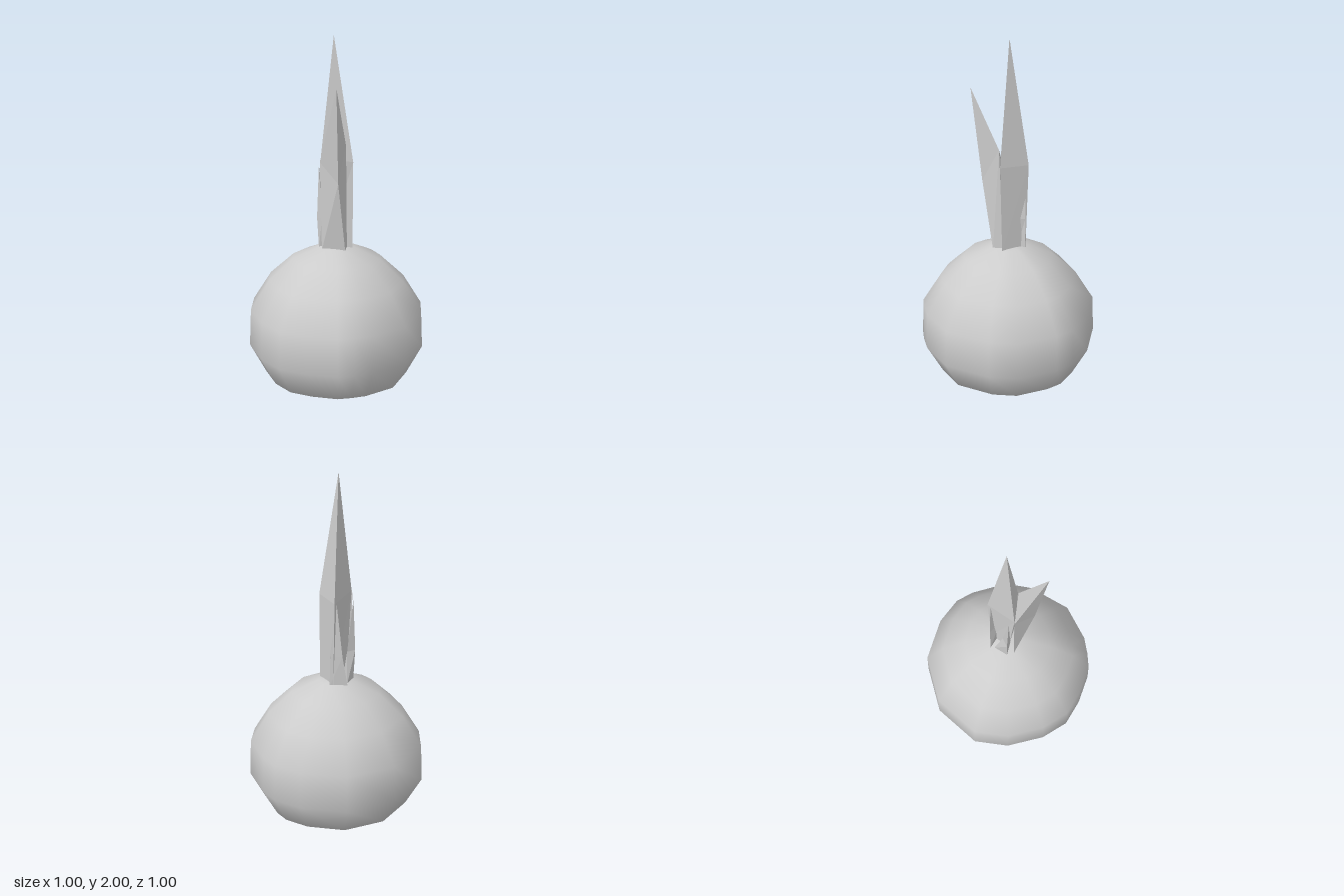
import * as THREE from 'three';
import { mergeVertices } from 'three/addons/utils/BufferGeometryUtils.js';

// Bulb: a lathe whose rings follow an uneven, hand-cut outline
function bulbGeometry() {
  const outline = [ // x, z from the front towards +x
    [0, 0.5], [0.1, 0.49], [0.31, 0.4], [0.46, 0.18], [0.5, 0.02], [0.45, -0.2],
    [0.4, -0.3], [0.27, -0.41], [0.03, -0.5], [-0.25, -0.44], [-0.46, -0.23],
    [-0.5, -0.03], [-0.46, 0.19], [-0.38, 0.34], [-0.25, 0.43], [-0.09, 0.5],
  ];
  const profile = [ // radius, height
    [0, 0.005], [0.25, 0.01], [0.41, 0.09], [0.5, 0.26], [0.49, 0.47],
    [0.385, 0.64], [0.25, 0.765], [0.1, 0.83], [0, 0.84],
  ];
  const geo = new THREE.LatheGeometry(profile.map(p => new THREE.Vector2(...p)), outline.length);
  const pos = geo.attributes.position;
  for (let i = 0; i < pos.count; i++) {
    const [x, z] = outline[Math.floor(i / profile.length) % outline.length];
    const [r, y] = profile[i % profile.length];
    pos.setXYZ(i, x * r * 2, y, z * r * 2);
  }
  geo.deleteAttribute('uv');
  geo.deleteAttribute('normal');
  const merged = mergeVertices(geo);
  merged.computeVertexNormals();
  return merged;
}

// Leaf: three-sided shaft from base to shoulder, then a long point
function leafGeometry(tip, shoulder, base) {
  const v = [];
  for (let i = 0; i < 3; i++) {
    const j = (i + 1) % 3;
    v.push(...base[i], ...base[j], ...shoulder[j]);
    v.push(...base[i], ...shoulder[j], ...shoulder[i]);
    v.push(...shoulder[i], ...shoulder[j], ...tip);
  }
  const geo = new THREE.BufferGeometry();
  geo.setAttribute('position', new THREE.Float32BufferAttribute(v, 3));
  geo.computeVertexNormals();
  return geo;
}

export function createModel() {
  const group = new THREE.Group();
  group.name = 'onion';
  const grey = new THREE.MeshStandardMaterial({ color: 0xcccccc, side: THREE.DoubleSide });
  grey.name = 'light grey';
  const add = (name, geo) => {
    const mesh = new THREE.Mesh(geo, grey);
    mesh.name = name;
    group.add(mesh);
  };

  add('bulb', bulbGeometry());

  // Tall central leaf
  add('tallLeaf', leafGeometry([-0.015, 2, -0.005],
    [[0.08, 1.32, 0.06], [0.025, 1.31, -0.105], [-0.095, 1.34, 0.03]],
    [[0.08, 0.82, 0.05], [0.03, 0.82, -0.09], [-0.06, 0.82, 0.0]]));

  // Shorter leaf leaning to the front
  add('frontLeaf', leafGeometry([-0.04, 1.74, 0.2],
    [[-0.02, 1.22, 0.145], [0.04, 1.41, 0.06], [-0.1, 1.32, 0.03]],
    [[0.03, 0.82, 0.095], [0.05, 0.82, 0.04], [-0.09, 0.82, 0.03]]));

  // Small leaves at the side and back
  add('sideLeaf', leafGeometry([-0.1, 1.3, 0.0],
    [[-0.085, 1.0, 0.01], [-0.06, 1.0, -0.03], [-0.11, 1.0, -0.01]],
    [[-0.04, 0.82, 0.0], [-0.05, 0.82, -0.08], [-0.1, 0.82, -0.01]]));
  add('backLeaf', leafGeometry([0.01, 1.3, -0.09],
    [[0.04, 1.0, -0.04], [0.045, 1.0, -0.085], [-0.02, 1.0, -0.1]],
    [[0.03, 0.82, -0.04], [0.05, 0.82, -0.085], [-0.05, 0.82, -0.1]]));

  return group;
}
